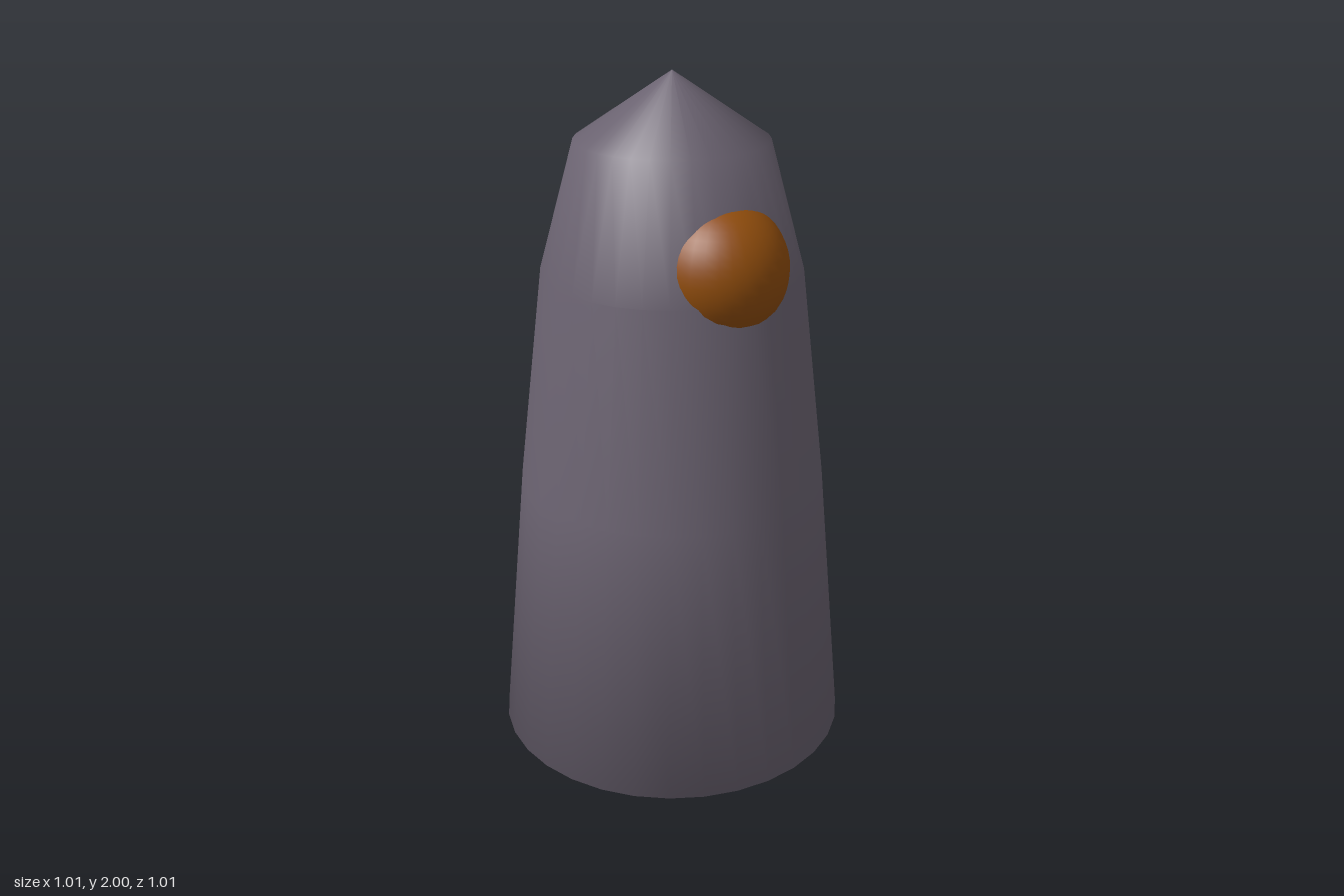
import * as THREE from 'three';

export function createModel() {
  const model = new THREE.Group();

  // Tapered body: turned profile from the open base hole up to the pointed tip
  const profile = [
    [0.06, 0], [0.507, 0.065], [0.435, 0.85], [0.363, 1.46], [0.265, 1.82], [0, 2],
  ].map(([r, y]) => new THREE.Vector2(r, y));
  const body = new THREE.Mesh(
    new THREE.LatheGeometry(profile, 32),
    new THREE.MeshStandardMaterial({ color: 0x6b6371, side: THREE.DoubleSide }),
  );
  body.name = 'body';
  model.add(body);

  // Single round eye, half sunk into the front
  const eye = new THREE.Mesh(
    new THREE.SphereGeometry(0.19, 32, 24),
    new THREE.MeshStandardMaterial({ color: 0x8f4c0c }),
  );
  eye.name = 'eye';
  eye.position.set(0, 1.517, 0.22);
  model.add(eye);

  return model;
}
